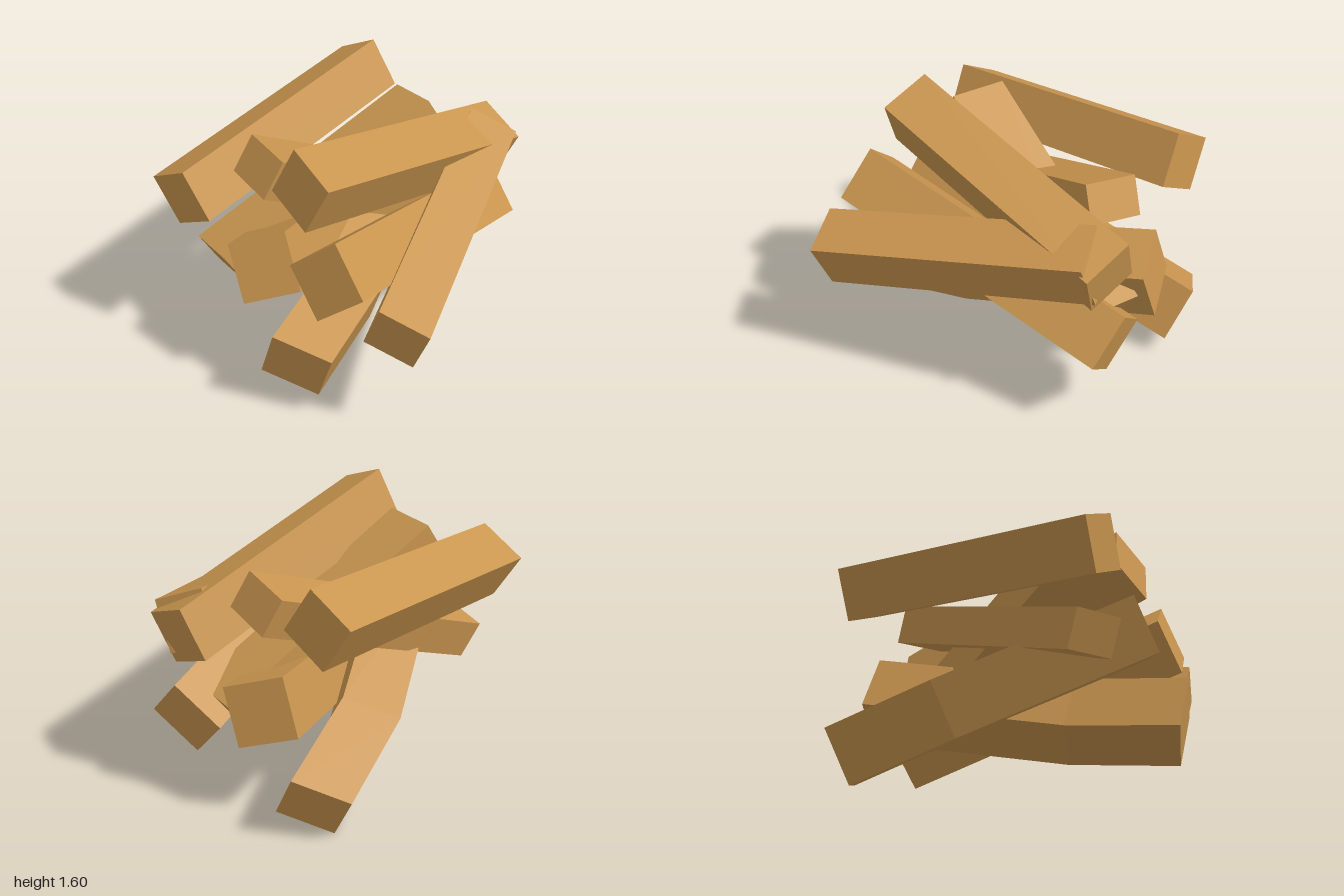
import * as THREE from 'three';

const wood = new THREE.MeshStandardMaterial({ color: 0xc9954f, flatShading: true });

// Squared log: a four-sided section (edges u and v from one corner)
// carried along the path of that corner, front to back, and capped.
function logGeometry(path, u, v) {
  const pts = path.map((p) => new THREE.Vector3(...p));
  let a = new THREE.Vector3(...u), b = new THREE.Vector3(...v);
  const along = pts[pts.length - 1].clone().sub(pts[0]);
  if (a.clone().cross(b).dot(along) < 0) [a, b] = [b, a];
  const rings = pts.map((p) => [
    p, p.clone().add(a), p.clone().add(a).add(b), p.clone().add(b),
  ]);
  const out = [];
  const quad = (p, q, r, s) => [p, q, r, p, r, s].forEach((c) => out.push(c.x, c.y, c.z));
  const first = rings[0], last = rings[rings.length - 1];
  quad(first[0], first[3], first[2], first[1]);
  quad(last[0], last[1], last[2], last[3]);
  for (let i = 0; i < rings.length - 1; i++) {
    for (let k = 0; k < 4; k++) {
      const n = (k + 1) % 4;
      quad(rings[i][k], rings[i][n], rings[i + 1][n], rings[i + 1][k]);
    }
  }
  const g = new THREE.BufferGeometry();
  g.setAttribute('position', new THREE.Float32BufferAttribute(out, 3));
  g.computeVertexNormals();
  return g;
}

const logs = [
  // upper outer log
  { name: 'upperRightLog', path: [[-0.93, 1.17, 0.79], [-0.77, 1.32, -0.85]],
    u: [0.27, 0.15, 0.04], v: [0.16, -0.27, -0.01] },
  // bent log reaching the ground at the back
  { name: 'lowerRightBentLog', path: [[-0.20, 0.66, 0.92], [-0.56, 0.20, -0.15], [-0.63, 0, -0.77]],
    u: [0.29, 0.12, -0.15], v: [-0.16, 0.30, -0.08] },
  // log sloping down towards the back
  { name: 'downwardLog', path: [[-0.50, 1.41, 0.41], [-0.01, 0.66, -0.89]],
    u: [0.32, 0, 0.13], v: [-0.05, -0.20, 0.12] },
  // topmost log
  { name: 'topLog', path: [[-0.03, 1.60, 0.63], [0.25, 1.21, -0.95]],
    u: [0.28, -0.12, 0.08], v: [-0.13, -0.29, 0.04] },
  // outer log rising towards the back
  { name: 'leftLog', path: [[0.65, 0.95, 0.83], [0.26, 1.26, -0.75]],
    u: [0.27, -0.11, -0.08], v: [-0.12, -0.29, -0.03] },
  // central log
  { name: 'middleLog', path: [[0.07, 1.00, 0.83], [0.03, 0.53, -0.92]],
    u: [0.26, 0.22, -0.06], v: [0.22, -0.25, 0.06] },
  // log sloping up towards the back
  { name: 'upwardLog', path: [[-0.75, 0.74, 0.66], [-0.24, 1.29, -0.69]],
    u: [0.31, 0.05, 0.13], v: [0.07, -0.20, -0.09] },
  // bent log at the bottom front
  { name: 'bottomBentLog', path: [[0.06, 0.60, 1.0], [-0.03, 0.68, 0.35], [-0.32, 0.91, -0.81]],
    u: [0.32, -0.11, -0.11], v: [-0.12, -0.33, -0.03] },
];

export function createModel() {
  const pile = new THREE.Group();
  pile.name = 'logPile';
  for (const { name, path, u, v } of logs) {
    const mesh = new THREE.Mesh(logGeometry(path, u, v), wood);
    mesh.name = name;
    pile.add(mesh);
  }
  return pile;
}
